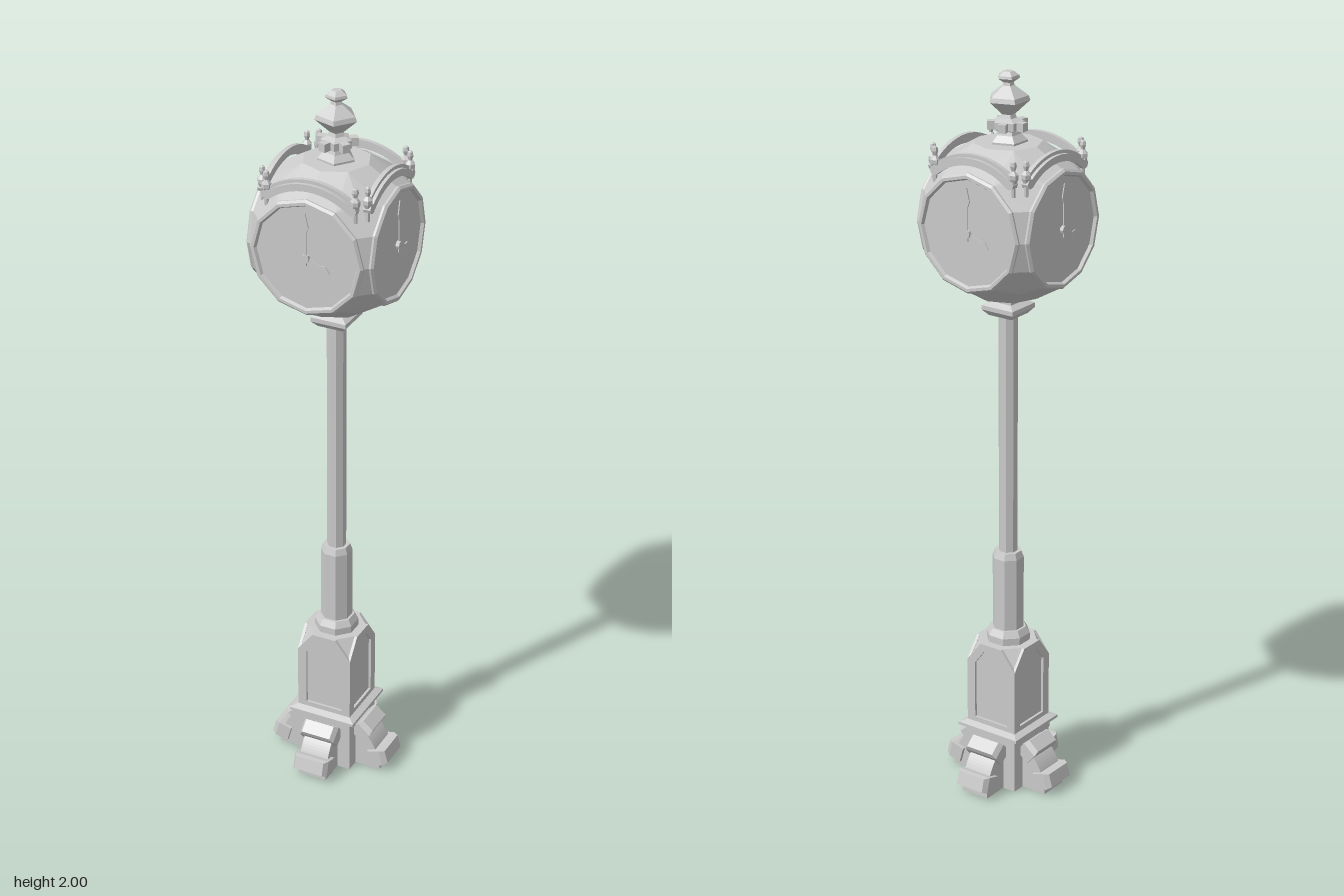
import * as THREE from 'three';
import { ConvexGeometry } from 'three/addons/geometries/ConvexGeometry.js';

const material = new THREE.MeshStandardMaterial({ color: 0xcccccc, flatShading: true, side: THREE.DoubleSide });
const V = (x, y, z) => new THREE.Vector3(x, y, z);

function add(parent, name, geometry, x = 0, y = 0, z = 0) {
  const mesh = new THREE.Mesh(geometry, material);
  mesh.name = name;
  mesh.position.set(x, y, z);
  parent.add(mesh);
  return mesh;
}

const lathe = (points, sides) =>
  new THREE.LatheGeometry(points.map(([r, y]) => new THREE.Vector2(r, y)), sides);

// Lathe with flat sides facing the axes; radii are half widths
function prism(points, sides) {
  const k = 1 / Math.cos(Math.PI / sides);
  return lathe(points.map(([r, y]) => [r * k, y]), sides).rotateY(Math.PI / sides);
}

function polygon(points) {
  return new THREE.Shape(points.map(([x, y]) => new THREE.Vector2(x, y)));
}

const extrude = (shape, depth) =>
  new THREE.ExtrudeGeometry(shape, { depth, bevelEnabled: false, curveSegments: 12 });

// Repeats a part on all four sides
function fourSides(parent, name, build) {
  for (let i = 0; i < 4; i++) {
    const side = new THREE.Group();
    side.name = name;
    side.rotation.y = i * Math.PI / 2;
    build(side);
    parent.add(side);
  }
}

function buildBase(root) {
  add(root, 'baseBlock', new THREE.BoxGeometry(0.16, 0.16, 0.16), 0, 0.08, 0);
  add(root, 'ledge', prism([[0, 0.152], [0.082, 0.152], [0.098, 0.162], [0.098, 0.17], [0.08, 0.178], [0, 0.178]], 4));

  // Rounded buttress feet with tapered blocks on their curve
  const quarter = new THREE.Shape();
  quarter.moveTo(0, 0);
  quarter.lineTo(0.155, 0);
  quarter.absarc(0, 0, 0.155, 0, Math.PI / 2 - 0.2, false);
  quarter.lineTo(0, 0.15);
  fourSides(root, 'foot', (side) => {
    add(side, 'buttress', extrude(quarter, 0.084).translate(0, 0, -0.042).rotateY(-Math.PI / 2));
    for (const angle of [0.27, 0.86]) {
      const block = prism([[0, 0.13], [0.5, 0.13], [0.5, 0.168], [0.41, 0.182], [0, 0.182]], 4);
      block.scale(0.104, 1, 0.046).rotateX(Math.PI / 2 - angle);
      add(side, 'footBlock', block);
    }
  });
}

function buildPlinth(root) {
  // Square core with its top corners cut off
  const h = 0.073, corners = [];
  for (const sx of [-1, 1]) for (const sz of [-1, 1]) {
    corners.push(V(sx * h, 0.17, sz * h), V(sx * h, 0.367, sz * h));
    corners.push(V(sx * h, 0.42, sz * 0.033), V(sx * 0.033, 0.42, sz * h));
  }
  add(root, 'plinthCore', new ConvexGeometry(corners));

  // Raised frame around each gabled panel
  const outline = (w, low, shoulder, t, high) =>
    [[-w, low], [w, low], [w, shoulder], [t, high], [-t, high], [-w, shoulder]];
  const frame = polygon(outline(0.08, 0.17, 0.362, 0.035, 0.42));
  frame.holes.push(polygon(outline(0.054, 0.192, 0.358, 0.024, 0.398)));
  fourSides(root, 'plinthPanel', (side) => add(side, 'panelFrame', extrude(frame, 0.008), 0, 0, 0.072));
}

function buildPost(root) {
  add(root, 'sleeveCollar', prism([[0, 0.415], [0.056, 0.418], [0.056, 0.44], [0.046, 0.458], [0, 0.458]], 8));
  add(root, 'sleeve', prism([[0.04, 0.45], [0.04, 0.665], [0.034, 0.683], [0, 0.683]], 8));
  add(root, 'pole', prism([[0.024, 0.67], [0.024, 1.38]], 8));
  add(root, 'poleCollar', prism([[0.025, 1.352], [0.036, 1.354], [0.05, 1.37], [0.05, 1.382], [0.033, 1.392], [0.033, 1.44]], 4));
}

function buildHead(root) {
  const head = new THREE.Group();
  head.name = 'clockHead';
  head.position.y = 1.615;
  root.add(head);

  // Ball with four flat round faces
  const points = [];
  for (let i = 0; i < 12; i++) {
    const a = i * Math.PI / 6, u = 0.157 * Math.sin(a), v = 0.157 * Math.cos(a);
    for (const s of [-0.168, 0.168]) points.push(V(u, v, s), V(s, v, u));
  }
  for (const elevation of [-66, -45, -20, 0, 20, 45, 66]) {
    const e = elevation * Math.PI / 180, steep = Math.abs(elevation) > 40;
    for (let i = steep ? 0 : 1; i < 8; i += steep ? 1 : 2) {
      const a = i * Math.PI / 4, r = 0.221 * Math.cos(e);
      points.push(V(r * Math.sin(a), 0.221 * Math.sin(e), r * Math.cos(a)));
    }
  }
  add(head, 'clockBody', new ConvexGeometry(points));

  const minute = polygon([[-0.003, -0.02], [0.003, -0.02], [0.003, 0.07], [0.009, 0.085], [0, 0.122], [-0.009, 0.085], [-0.003, 0.07]]);
  const hour = polygon([[-0.004, -0.01], [0.004, -0.01], [0.004, 0.043], [0.012, 0.055], [0, 0.074], [-0.012, 0.055], [-0.004, 0.043]]);
  const hood = new THREE.Shape();
  hood.absarc(0, 0, 0.2, Math.PI / 2 - 0.7, Math.PI / 2 + 0.7, false);
  hood.absarc(0, 0, 0.18, Math.PI / 2 + 0.7, Math.PI / 2 - 0.7, true);
  const lip = new THREE.Shape();
  lip.absarc(0, 0, 0.191, Math.PI / 2 - 0.7, Math.PI / 2 + 0.7, false);
  lip.absarc(0, 0, 0.172, Math.PI / 2 + 0.7, Math.PI / 2 - 0.7, true);

  fourSides(head, 'clockFace', (side) => {
    const rim = lathe([[0.158, 0.162], [0.159, 0.172], [0.153, 0.178], [0.145, 0.178], [0.139, 0.168]], 12);
    add(side, 'faceRim', rim.rotateX(Math.PI / 2));
    add(side, 'dial', new THREE.CircleGeometry(0.142, 12), 0, 0, 0.17);
    add(side, 'minuteHand', extrude(minute, 0.003), 0, 0, 0.174);
    add(side, 'hourHand', extrude(hour, 0.003), 0, 0, 0.171).rotation.z = -2.02;
    add(side, 'handHub', new THREE.CylinderGeometry(0.011, 0.011, 0.01, 8).rotateX(Math.PI / 2), 0, 0, 0.175);

    // Arched hood, scrolled ends and small finials
    add(side, 'hood', extrude(hood, 0.012), 0, 0, 0.136);
    add(side, 'hoodLip', extrude(lip, 0.01), 0, 0, 0.147);
    for (const s of [-1, 1]) {
      add(side, 'hoodScroll', new THREE.CylinderGeometry(0.013, 0.013, 0.02, 8).rotateX(Math.PI / 2), s * 0.118, 0.143, 0.147);
      const finial = lathe([[0.006, 0.11], [0.006, 0.142], [0.013, 0.157], [0.013, 0.168], [0.005, 0.178], [0.009, 0.19], [0.007, 0.2], [0, 0.204]], 6);
      add(side, 'cornerFinial', finial, s * 0.123, 0, 0.146);
    }
  });
}

function buildTopFinial(root) {
  const profile = [[0.05, 1.8], [0.05, 1.822], [0.034, 1.838], [0.03, 1.848], [0.042, 1.852], [0.042, 1.872],
    [0.022, 1.88], [0.018, 1.89], [0.056, 1.925], [0.052, 1.937], [0.016, 1.964], [0.014, 1.972],
    [0.03, 1.983], [0.028, 1.99], [0.014, 2], [0, 2]];
  add(root, 'topFinial', lathe(profile, 5).rotateY(Math.PI / 2));
  for (let i = 0; i < 5; i++) {
    const lug = new THREE.BoxGeometry(0.026, 0.022, 0.022).translate(0.041, 1.862, 0);
    add(root, 'finialLug', lug.rotateY((i + 0.5) * Math.PI * 0.4));
  }
}

export function createModel() {
  const root = new THREE.Group();
  root.name = 'streetClock';
  buildBase(root);
  buildPlinth(root);
  buildPost(root);
  buildHead(root);
  buildTopFinial(root);
  return root;
}
